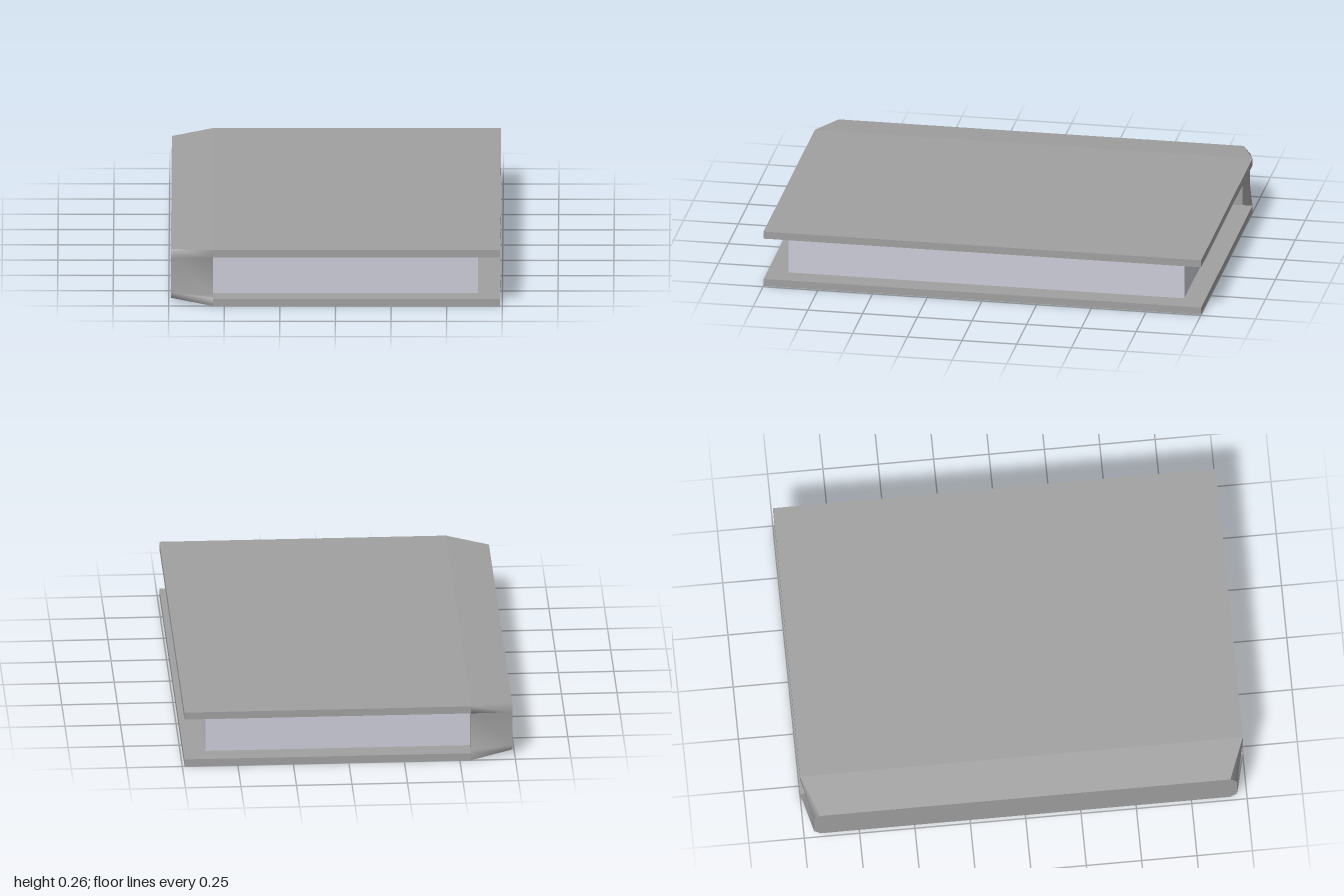
import * as THREE from 'three';
import { mergeVertices } from 'three/addons/utils/BufferGeometryUtils.js';

const H = 0.262, T = 0.034;          // total height, cover thickness
const X_IN = -0.55, X_OUT = -0.74, X_EDGE = 0.74;

export function createModel() {
  const group = new THREE.Group();
  group.name = 'book';
  const cover = new THREE.MeshStandardMaterial({ color: 0xa0a0a0 });
  cover.name = 'greyCover';
  const paper = new THREE.MeshStandardMaterial({ color: 0xccccd8 });
  paper.name = 'palePaper';

  const add = (name, geometry, material) => {
    const mesh = new THREE.Mesh(geometry, material);
    mesh.name = name;
    group.add(mesh);
    return mesh;
  };

  // Cover boards
  for (const [name, y] of [['bottomCover', T / 2], ['topCover', H - T / 2]]) {
    add(name, new THREE.BoxGeometry(X_EDGE - X_IN, T, 2), cover)
      .position.set((X_EDGE + X_IN) / 2, y, 0);
  }

  // Page block, set back from the cover edges
  add('pages', new THREE.BoxGeometry(0.64 - X_IN, H - 2 * T, 1.81), paper)
    .position.set((0.64 + X_IN) / 2, H / 2, 0);

  // Spine sections as [y, z]: one end listed top to bottom, then the other end
  const mirror = (half) => [...half, ...half.map(([y, z]) => [y, -z]).reverse()];
  const inner = mirror([
    [H, 1], [H - T, 1], [H - T, 0.955], [T, 0.955], [T, 1], [0, 1],
  ]);
  const outer = mirror([
    [0.245, 0.925], [0.21, 0.955], [0.21, 0.955], [0.052, 0.955], [0.052, 0.955], [0.017, 0.925],
  ]);

  const build = (points, index) => {
    let g = new THREE.BufferGeometry();
    g.setAttribute('position', new THREE.Float32BufferAttribute(points.flat(), 3));
    g.setIndex(index);
    g = mergeVertices(g);
    g.computeVertexNormals();
    return g;
  };

  // Surface joining the two sections along the listed corners
  const strip = (ids) => {
    const points = [], index = [];
    ids.forEach((id, i) => {
      points.push([X_IN, ...inner[id]], [X_OUT, ...outer[id]]);
      if (i) {
        const a = 2 * i - 2;
        index.push(a, a + 1, a + 2, a + 2, a + 1, a + 3);
      }
    });
    return build(points, index);
  };

  // Flat convex face at one x
  const cap = (x, section) => {
    const index = [];
    for (let i = 1; i < section.length - 1; i++) index.push(0, i, i + 1);
    return build(section.map((p) => [x, ...p]), index);
  };

  add('spineFrontEnd', strip([0, 1, 2, 3, 4, 5]), cover);
  add('spineRearEnd', strip([6, 7, 8, 9, 10, 11]), cover);
  add('spineTop', strip([11, 0]), cover);
  add('spineUnderside', strip([5, 6]), cover);
  const rim = outer.filter((p, i) => ![2, 4, 7, 9].includes(i));
  add('spineBack', cap(X_OUT, rim.reverse()), cover);
  add('spineInside', cap(X_IN, [2, 3, 8, 9].map((i) => inner[i])), cover);

  return group;
}
